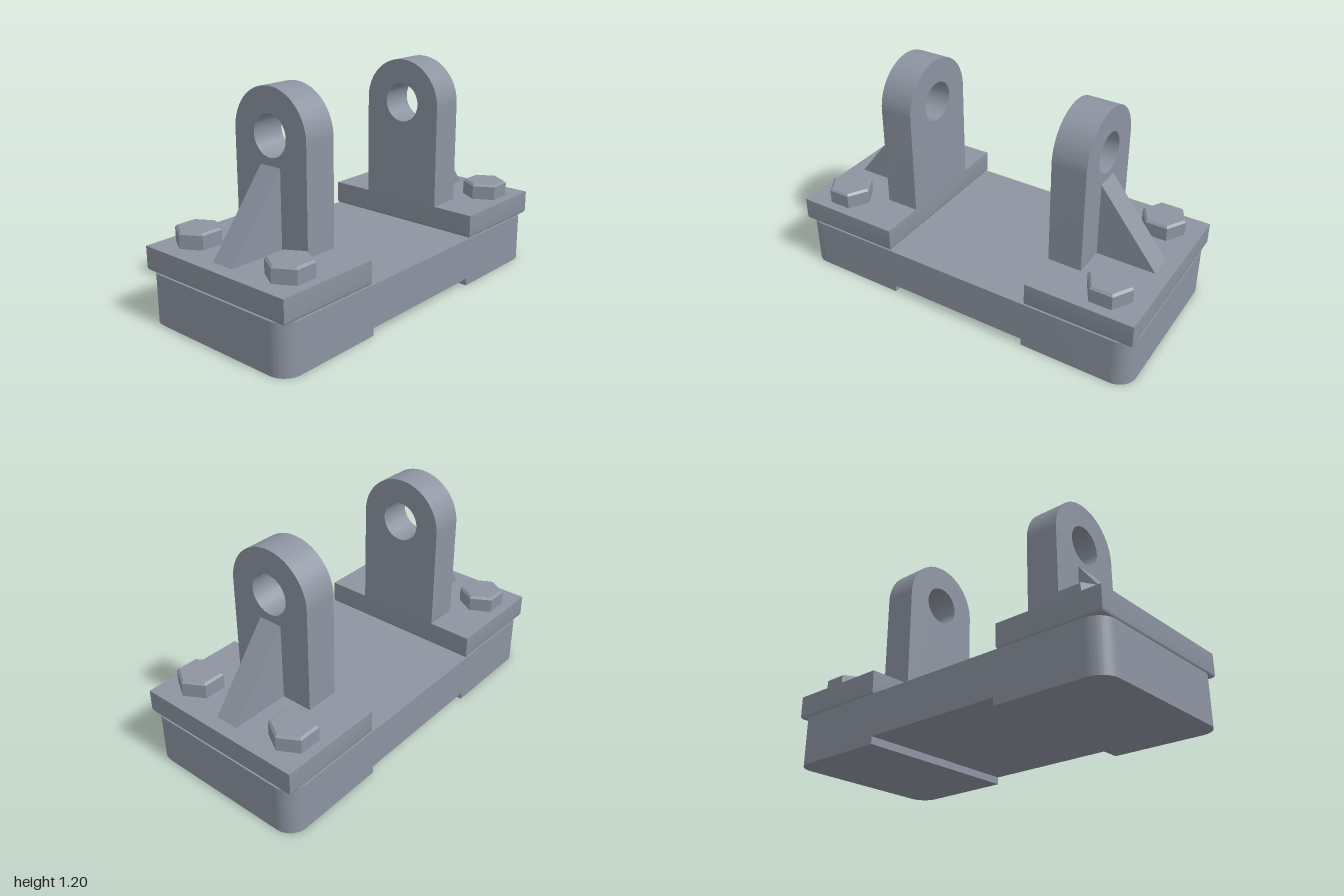
import * as THREE from 'three';
import { toCreasedNormals } from 'three/addons/utils/BufferGeometryUtils.js';

const steel = new THREE.MeshStandardMaterial({ color: 0x8d94a1 });
steel.name = 'steel';

const HALF_DEPTH = 0.48, BASE_TOP = 0.27, PLATE_TOP = 0.4, INNER_X = 0.415;

function part(name, geometry, parent) {
  const mesh = new THREE.Mesh(toCreasedNormals(geometry, 0.5), steel);
  mesh.name = name;
  parent.add(mesh);
  return mesh;
}

// Base end block: plan outline with rounded outer corners, extruded upward
function baseEndGeometry() {
  const r = 0.1, d = HALF_DEPTH;
  const s = new THREE.Shape();
  s.moveTo(0.4, -d);
  s.lineTo(1 - r, -d);
  s.absarc(1 - r, -d + r, r, -Math.PI / 2, 0, false);
  s.absarc(1 - r, d - r, r, 0, Math.PI / 2, false);
  s.lineTo(0.4, d);
  s.closePath();
  return new THREE.ExtrudeGeometry(s, { depth: BASE_TOP, bevelEnabled: false, curveSegments: 12 })
    .rotateX(-Math.PI / 2);
}

// Mounting plate: box whose lower rows curve inward as a small fillet
function plateGeometry() {
  const w = 1 - INNER_X, h = PLATE_TOP - BASE_TOP, r = 0.018, rows = 5;
  const g = new THREE.BoxGeometry(w, h, HALF_DEPTH * 2, 1, rows, 1);
  const p = g.attributes.position;
  for (let i = 0; i < p.count; i++) {
    const row = Math.round((p.getY(i) / h + 0.5) * rows);
    if (row === rows) { p.setY(i, h); continue; }
    const a = (row / (rows - 1)) * Math.PI / 2;
    const inset = r * (1 - Math.sin(a));
    p.setXYZ(i, p.getX(i) - Math.sign(p.getX(i)) * inset, r * (1 - Math.cos(a)),
      p.getZ(i) - Math.sign(p.getZ(i)) * inset);
  }
  return g.translate(INNER_X + w / 2, BASE_TOP, 0);
}

// Upright lug with a round top and a pin hole, extruded along x
function lugGeometry() {
  const r = 0.24, cy = 0.96;
  const s = new THREE.Shape();
  s.moveTo(-r, PLATE_TOP);
  s.lineTo(r, PLATE_TOP);
  s.absarc(0, cy, r, 0, Math.PI, false);
  s.closePath();
  const hole = new THREE.Path();
  hole.absarc(0, cy, 0.108, 0, Math.PI * 2, true);
  s.holes.push(hole);
  return new THREE.ExtrudeGeometry(s, { depth: 0.6 - INNER_X, bevelEnabled: false, curveSegments: 32 })
    .rotateY(Math.PI / 2).translate(INNER_X, 0, 0);
}

// Triangular rib bracing the lug
function ribGeometry() {
  const t = 0.132;
  const s = new THREE.Shape();
  s.moveTo(0.6, PLATE_TOP);
  s.lineTo(0.924, PLATE_TOP);
  s.lineTo(0.6, 0.812);
  s.closePath();
  return new THREE.ExtrudeGeometry(s, { depth: t, bevelEnabled: false }).translate(0, 0, -t / 2);
}

// Hexagonal bolt head with a chamfered top edge
function addBolt(z, parent) {
  const bolt = new THREE.Group();
  bolt.name = 'bolt';
  bolt.position.set(0.798, PLATE_TOP, z);
  bolt.rotation.y = Math.PI / 2;
  parent.add(bolt);
  part('boltHead', new THREE.CylinderGeometry(0.122, 0.122, 0.075, 6, 1, true).translate(0, 0.0375, 0), bolt);
  part('boltChamfer', new THREE.CylinderGeometry(0.109, 0.122, 0.011, 6, 1, true).translate(0, 0.0805, 0), bolt);
  part('boltTop', new THREE.CircleGeometry(0.109, 6).rotateX(-Math.PI / 2).rotateY(Math.PI / 2)
    .translate(0, 0.086, 0), bolt);
}

export function createModel() {
  const model = new THREE.Group();
  model.name = 'clevisBracket';

  // Raised centre span of the base
  part('baseSpan', new THREE.BoxGeometry(0.8, 0.23, HALF_DEPTH * 2).translate(0, 0.155, 0), model);

  // The two ends are the same assembly turned half round
  for (const name of ['leftEnd', 'rightEnd']) {
    const end = new THREE.Group();
    end.name = name;
    end.rotation.y = name === 'leftEnd' ? 0 : Math.PI;
    model.add(end);
    part('baseEnd', baseEndGeometry(), end);
    part('mountingPlate', plateGeometry(), end);
    part('lug', lugGeometry(), end);
    part('rib', ribGeometry(), end);
    for (const z of [-0.32, 0.32]) addBolt(z, end);
  }
  return model;
}
